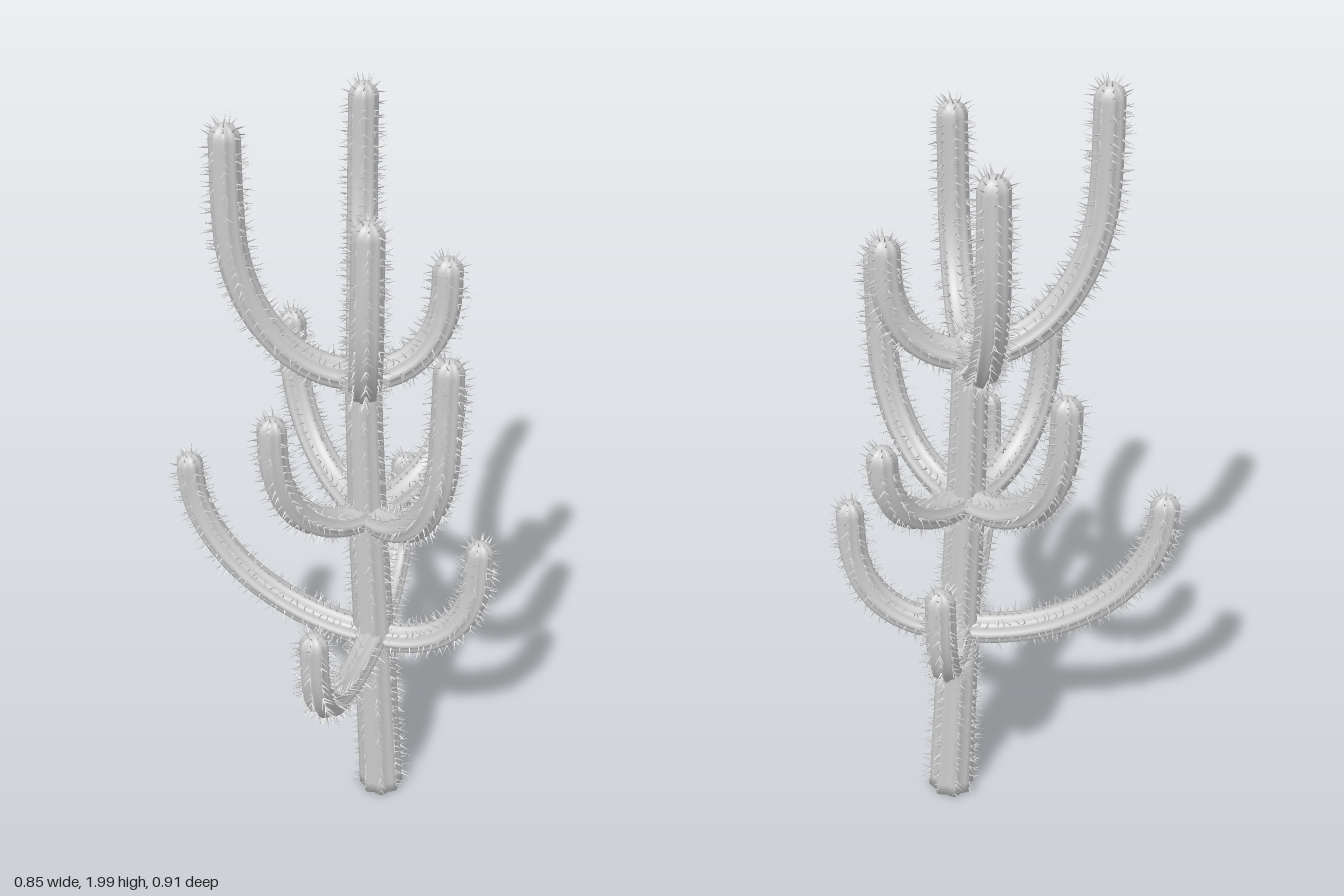
import * as THREE from 'three';

const RIBS = 8;
const SIDES = RIBS * 4;
const V = (x, y, z) => new THREE.Vector3(x, y, z);

let seed = 7;
const rand = () => {
  seed = (seed * 16807) % 2147483647;
  return seed / 2147483647;
};
const jitter = (a) => (rand() * 2 - 1) * a;

const skin = new THREE.MeshStandardMaterial({ color: 0xcccccc });
const spineSkin = new THREE.MeshStandardMaterial({ color: 0xcccccc, flatShading: true, side: THREE.DoubleSide });

// Centre, axes and radius of a limb at a fraction u of its length
function section(limb, u) {
  const { curve, side, r0, r1, length } = limb;
  const p = curve.getPointAt(u);
  const t = curve.getTangentAt(u);
  const n = side.clone().cross(t).normalize();
  let r = r0 + (r1 - r0) * u;
  const k = Math.min(1, ((1 - u) * length) / r1); // rounded tip
  r *= Math.sqrt(Math.max(0, 1 - (1 - k) ** 2));
  return { p, t, n, r, lean: 1 - k };
}

const outward = (s, side, a) =>
  s.n.clone().multiplyScalar(Math.cos(a)).addScaledVector(side, Math.sin(a));

// Ribbed body swept along the curve, with a domed tip and a flat base
function bodyGeometry(limb) {
  const { side, r1, length, steps } = limb;
  const us = [];
  const domeStart = 1 - r1 / length;
  for (let i = 0; i <= steps; i++) us.push((domeStart * i) / steps);
  for (let i = 1; i <= 6; i++) {
    us.push(domeStart + (1 - domeStart) * Math.sin((i / 6) * Math.PI / 2));
  }

  const base = section(limb, 0).p;
  const pos = [...base.toArray()];
  const index = [];
  us.forEach((u, i) => {
    const s = section(limb, Math.min(u, 1));
    for (let j = 0; j < SIDES; j++) {
      const a = (j / SIDES) * Math.PI * 2;
      const rr = s.r * (0.92 + 0.08 * Math.cos(a * RIBS));
      pos.push(...s.p.clone().addScaledVector(outward(s, side, a), rr).toArray());
      const j2 = (j + 1) % SIDES;
      const row = 1 + i * SIDES;
      if (i < us.length - 1) {
        index.push(row + j, row + j2, row + SIDES + j2);
        index.push(row + j, row + SIDES + j2, row + SIDES + j);
      }
      if (i === 0) index.push(0, row + j2, row + j);
    }
  });
  const g = new THREE.BufferGeometry();
  g.setAttribute('position', new THREE.Float32BufferAttribute(pos, 3));
  g.setIndex(index);
  g.computeVertexNormals();
  return g;
}

// Thin three-sided needle
function addSpine(pos, root, dir, len, w) {
  const a = V(dir.y, dir.z, -dir.x).cross(dir).normalize();
  const b = dir.clone().cross(a);
  const tip = root.clone().addScaledVector(dir, len);
  const ring = [0, 1, 2].map((k) => {
    const q = (k * Math.PI * 2) / 3;
    return root.clone().addScaledVector(a, w * Math.cos(q)).addScaledVector(b, w * Math.sin(q));
  });
  for (let k = 0; k < 3; k++) {
    pos.push(...ring[k].toArray(), ...ring[(k + 1) % 3].toArray(), ...tip.toArray());
  }
}

// Needles in rows along the ribs, plus a crown around the tip
function spineGeometry(limb) {
  const { side, length, r1, startGap } = limb;
  const pos = [];
  const place = (u, a, len, spread) => {
    const s = section(limb, u);
    const o = outward(s, side, a);
    const tangent = s.t.clone().cross(o);
    const dir = o.clone().multiplyScalar(Math.sqrt(1 - s.lean ** 2))
      .addScaledVector(s.t, s.lean + jitter(0.45))
      .addScaledVector(tangent, spread).normalize();
    addSpine(pos, s.p.clone().addScaledVector(o, s.r * 0.97), dir, len, 0.0022);
  };
  for (let d = startGap; d < length - r1; d += 0.022) {
    for (let k = 0; k < RIBS; k++) {
      const a = (k / RIBS) * Math.PI * 2;
      const u = (d + jitter(0.008)) / length;
      place(u, a, 0.02 + rand() * 0.012, 0.5 + jitter(0.3));
      place(u, a, 0.02 + rand() * 0.012, -0.5 + jitter(0.3));
    }
  }
  for (const depth of [0.7, 0.35, 0.1]) {
    for (let k = 0; k < RIBS; k++) {
      place(1 - (depth * r1) / length, (k / RIBS) * Math.PI * 2, 0.024, jitter(0.3));
    }
  }
  const g = new THREE.BufferGeometry();
  g.setAttribute('position', new THREE.Float32BufferAttribute(pos, 3));
  g.computeVertexNormals();
  return g;
}

function makeLimb(name, limb) {
  limb.length = limb.curve.getLength();
  const group = new THREE.Group();
  group.name = name;
  const body = new THREE.Mesh(bodyGeometry(limb), skin);
  body.name = name + 'Body';
  const spines = new THREE.Mesh(spineGeometry(limb), spineSkin);
  spines.name = name + 'Spines';
  group.add(body, spines);
  return group;
}

// Arm leaving the trunk sideways and curving upright; power sets how square the bend is
function makeArm(name, root, [x, z, top, bend, power]) {
  const reach = V(x - root.x, 0, z - root.z);
  const points = [];
  for (let i = 0; i <= 8; i++) {
    const a = (i / 8) * Math.PI / 2;
    const out = Math.sin(a) ** (2 / power);
    const up = bend * (1 - Math.max(0, Math.cos(a)) ** (2 / power));
    points.push(root.clone().addScaledVector(reach, out).add(V(0, up, 0)));
  }
  points.push(V(x, top, z));
  const side = reach.clone().normalize().cross(V(0, 1, 0));
  return makeLimb(name, {
    curve: new THREE.CatmullRomCurve3(points), side, r0: 0.04, r1: 0.035, steps: 32, startGap: 0.06,
  });
}

export function createModel() {
  const model = new THREE.Group();
  model.name = 'cactus';

  // Leaning trunk
  model.add(makeLimb('trunk', {
    curve: new THREE.CatmullRomCurve3([
      V(0.13, 0.005, -0.063), V(0.102, 0.55, -0.063), V(0.08, 0.95, -0.064), V(0.065, 1.34, -0.065), V(0.064, 1.42, -0.065),
    ]),
    side: V(0, 0, 1), r0: 0.06, r1: 0.042, steps: 40, startGap: 0.02,
  }));

  // Three tiers of four arms: tip x, tip z, top, bend height, bend power
  const tiers = [
    ['lowerArm', V(0.102, 0.555, -0.063), [
      [-0.37, -0.225, 1.02, 0.42, 2], [0.355, 0.015, 0.92, 0.29, 2.5],
      [-0.05, 0.395, 0.955, 0.35, 2.5], [0.185, -0.365, 0.92, 0.29, 2.5]]],
    ['middleArm', V(0.08, 0.95, -0.064), [
      [-0.105, -0.325, 1.38, 0.36, 2.2], [0.29, -0.225, 1.23, 0.24, 2.2],
      [-0.145, 0.095, 1.34, 0.33, 2.2], [0.245, 0.155, 1.53, 0.36, 2.2]]],
    ['upperArm', V(0.065, 1.355, -0.065), [
      [-0.235, -0.065, 1.975, 0.42, 2.1], [0.25, -0.065, 1.66, 0.22, 2.1],
      [0.065, -0.39, 1.935, 0.42, 2.1], [0.065, 0.17, 1.865, 0.3, 2.1]]],
  ];
  for (const [name, root, arms] of tiers) {
    arms.forEach((arm, i) => model.add(makeArm(name + (i + 1), root, arm)));
  }
  return model;
}
